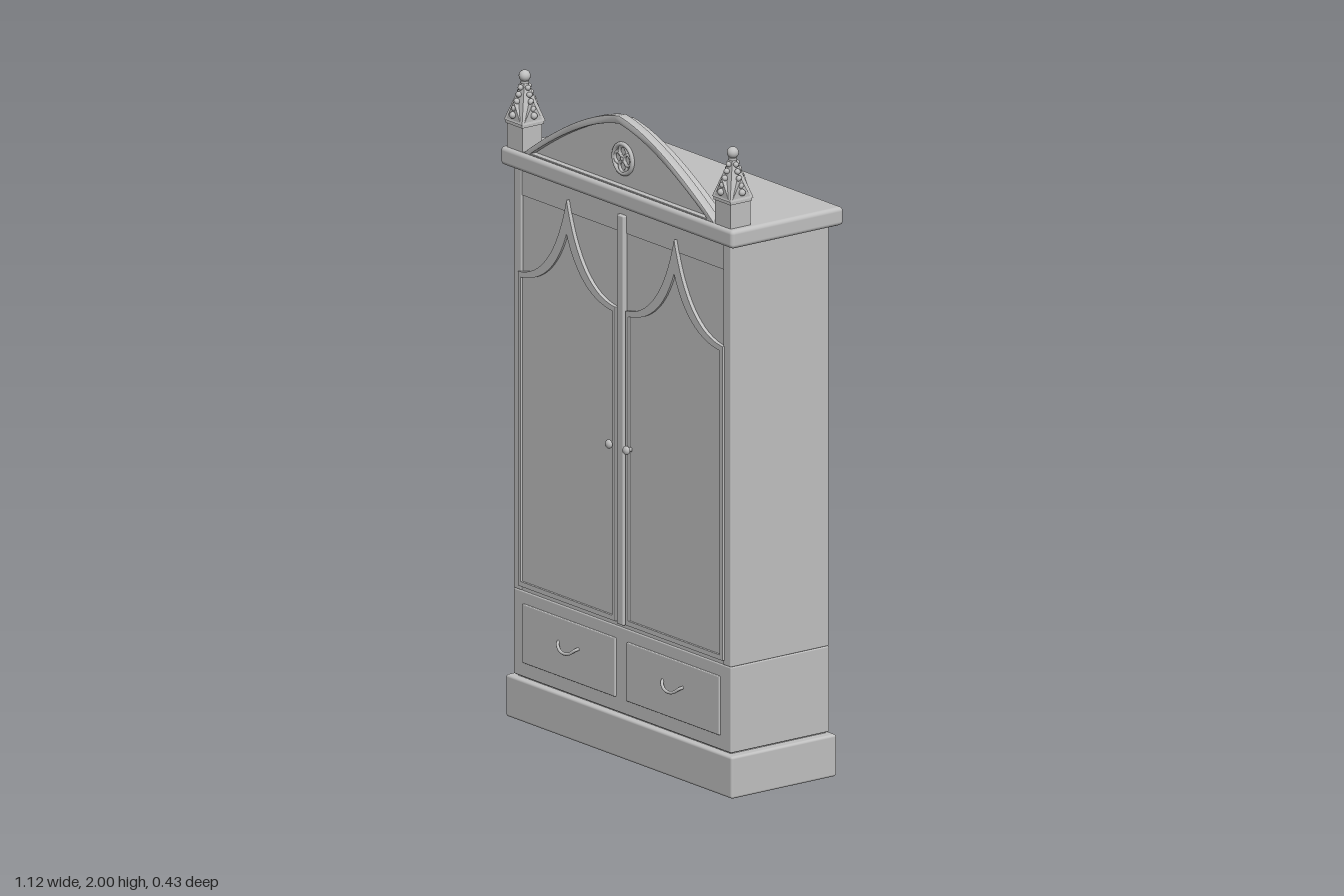
import * as THREE from 'three';
import { toCreasedNormals } from 'three/addons/utils/BufferGeometryUtils.js';
import { RoundedBoxGeometry } from 'three/addons/geometries/RoundedBoxGeometry.js';

const grey = new THREE.MeshStandardMaterial({ color: 0xc0c0c0 });
grey.name = 'grey';

function add(parent, name, geometry, x = 0, y = 0, z = 0) {
  const mesh = new THREE.Mesh(geometry, grey);
  mesh.name = name;
  mesh.position.set(x, y, z);
  parent.add(mesh);
  return mesh;
}

// Box given by its limits on each axis, with optional rounded edges
function block(parent, name, [x0, x1], [y0, y1], [z0, z1], radius = 0) {
  const size = [x1 - x0, y1 - y0, z1 - z0];
  const geometry = radius ? new RoundedBoxGeometry(...size, 3, radius) : new THREE.BoxGeometry(...size);
  return add(parent, name, geometry, (x0 + x1) / 2, (y0 + y1) / 2, (z0 + z1) / 2);
}

function extrude(shape, depth, bevel = 0) {
  const geometry = new THREE.ExtrudeGeometry(shape, {
    depth: depth - 2 * bevel, curveSegments: 16, bevelEnabled: bevel > 0,
    bevelSize: bevel, bevelThickness: bevel, bevelOffset: -bevel, bevelSegments: 2,
  });
  geometry.translate(0, 0, bevel);
  return toCreasedNormals(geometry, 0.6);
}

// Door outline: straight sides and two hollow curves that meet in a point
function doorOutline(path, half, bottom, shoulder, tip) {
  path.moveTo(-half, bottom);
  path.lineTo(half, bottom);
  path.lineTo(half, shoulder);
  path.quadraticCurveTo(0.065, shoulder + 0.015, 0, tip);
  path.quadraticCurveTo(-0.065, shoulder + 0.015, -half, shoulder);
  path.lineTo(-half, bottom);
  return path;
}

// Arched gable outline, half width and height above its base
function archOutline(path, half, base, top) {
  const rise = top - base;
  path.moveTo(-half, base);
  path.lineTo(half, base);
  path.quadraticCurveTo(half * 0.4, base + rise * 0.88, 0, top);
  path.quadraticCurveTo(-half * 0.4, base + rise * 0.88, -half, base);
  return path;
}

function buildDoor(side) {
  const door = new THREE.Group();
  door.name = side > 0 ? 'leftDoor' : 'rightDoor';
  const frame = doorOutline(new THREE.Shape(), 0.235, 0.415, 1.385, 1.66);
  frame.holes.push(doorOutline(new THREE.Path(), 0.221, 0.43, 1.37, 1.555));
  add(door, 'doorFrame', extrude(frame, 0.012), 0, 0, 0.179);
  const panel = doorOutline(new THREE.Shape(), 0.225, 0.425, 1.375, 1.6);
  add(door, 'doorPanel', extrude(panel, 0.006), 0, 0, 0.178);
  door.position.x = side * 0.26;
  return door;
}

function buildKnob(side) {
  const points = [[0, 0], [0.007, 0], [0.006, 0.008], [0.013, 0.013], [0.014, 0.019], [0.009, 0.025], [0, 0.026]];
  const geometry = new THREE.LatheGeometry(points.map((p) => new THREE.Vector2(...p)), 16);
  geometry.rotateX(Math.PI / 2);
  const knob = new THREE.Group();
  knob.name = 'doorKnob';
  add(knob, 'knob', geometry);
  knob.position.set(side * 0.042, 0.96, 0.184);
  return knob;
}

function buildDrawer(side) {
  const drawer = new THREE.Group();
  drawer.name = 'drawer';
  block(drawer, 'drawerFront', [-0.224, 0.224], [0.18, 0.362], [0.17, 0.19], 0.003);
  const path = new THREE.CatmullRomCurve3([
    [-0.05, 0.287, 0.188], [-0.042, 0.282, 0.198], [-0.022, 0.268, 0.205], [0, 0.264, 0.207],
    [0.022, 0.268, 0.205], [0.042, 0.282, 0.198], [0.05, 0.287, 0.188],
  ].map((p) => new THREE.Vector3(...p)));
  add(drawer, 'drawerHandle', new THREE.TubeGeometry(path, 24, 0.005, 8));
  drawer.position.x = side * 0.252;
  return drawer;
}

function buildPinnacle(side) {
  const pinnacle = new THREE.Group();
  pinnacle.name = 'pinnacle';
  block(pinnacle, 'pinnaclePost', [-0.037, 0.037], [0, 0.085], [-0.037, 0.037]);
  block(pinnacle, 'pinnacleCollar', [-0.041, 0.041], [0.075, 0.084], [-0.041, 0.041]);
  // Four-sided spire with its flat faces to the front and sides
  const spire = new THREE.CylinderGeometry(0.01, 0.062, 0.115, 4, 1).toNonIndexed();
  spire.rotateY(Math.PI / 4);
  spire.computeVertexNormals();
  add(pinnacle, 'spire', spire, 0, 0.1425, 0);

  const gable = new THREE.Shape([[-0.036, 0], [0.036, 0], [0, 0.065]].map((p) => new THREE.Vector2(...p)));
  for (let i = 0; i < 4; i++) {
    const face = new THREE.Group();
    face.name = 'spireFace';
    face.rotation.y = i * Math.PI / 2;
    add(face, 'gable', extrude(gable, 0.03), 0, 0.085, 0.012);
    // Row of round crockets climbing the face
    for (let k = 0; k < 5; k++) {
      const t = k / 4;
      add(face, 'crocket', new THREE.SphereGeometry(0.0105 - 0.002 * t, 10, 8),
        0, 0.108 + 0.08 * t, 0.045 - 0.029 * t);
    }
    pinnacle.add(face);
  }
  add(pinnacle, 'finialNeck', new THREE.CylinderGeometry(0.013, 0.013, 0.008, 12), 0, 0.203, 0);
  add(pinnacle, 'finialBall', new THREE.SphereGeometry(0.018, 16, 12), 0, 0.222, 0);
  pinnacle.position.set(side * 0.503, 1.76, 0.159);
  return pinnacle;
}

function buildPediment() {
  const pediment = new THREE.Group();
  pediment.name = 'pediment';
  add(pediment, 'pedimentPanel', extrude(archOutline(new THREE.Shape(), 0.45, 1.758, 1.968), 0.036), 0, 0, 0.141);
  const rim = archOutline(new THREE.Shape(), 0.462, 1.76, 1.983);
  rim.holes.push(archOutline(new THREE.Path(), 0.425, 1.766, 1.958));
  add(pediment, 'pedimentRim', extrude(rim, 0.03, 0.003), 0, 0, 0.167);

  // Pierced rosette: a ring around four small rings
  const rosette = new THREE.Group();
  rosette.name = 'rosette';
  add(rosette, 'outerRing', new THREE.TorusGeometry(0.045, 0.007, 10, 32));
  for (let i = 0; i < 4; i++) {
    const a = i * Math.PI / 2;
    add(rosette, 'lobeRing', new THREE.TorusGeometry(0.017, 0.005, 8, 20), 0.023 * Math.cos(a), 0.023 * Math.sin(a), 0);
  }
  add(rosette, 'rosetteCentre', new THREE.SphereGeometry(0.008, 12, 8));
  rosette.position.set(0, 1.847, 0.18);
  pediment.add(rosette);
  return pediment;
}

export function createModel() {
  const wardrobe = new THREE.Group();
  wardrobe.name = 'wardrobe';

  // Plinth, drawer case and cornice
  block(wardrobe, 'plinth', [-0.547, 0.547], [0, 0.13], [-0.197, 0.197], 0.008);
  block(wardrobe, 'plinthJoint', [-0.515, 0.515], [0.12, 0.145], [-0.178, 0.175]);
  block(wardrobe, 'drawerCase', [-0.526, 0.526], [0.135, 0.4], [-0.186, 0.184], 0.004);
  block(wardrobe, 'cornice', [-0.562, 0.562], [1.703, 1.76], [-0.213, 0.207], 0.013);

  // Upper cabinet: recessed core between two full-depth sides
  block(wardrobe, 'cabinetCore', [-0.5, 0.5], [0.395, 1.71], [-0.174, 0.177]);
  for (const side of [-1, 1]) {
    const [a, b] = [side * 0.488, side * 0.525];
    block(wardrobe, 'cabinetSide', [Math.min(a, b), Math.max(a, b)], [0.4, 1.706], [-0.185, 0.184], 0.004);
  }
  block(wardrobe, 'topRail', [-0.49, 0.49], [1.62, 1.706], [0.17, 0.18]);
  block(wardrobe, 'bottomRail', [-0.49, 0.49], [0.4, 0.455], [0.17, 0.18]);
  block(wardrobe, 'centreStile', [-0.016, 0.016], [0.41, 1.675], [0.17, 0.193], 0.004);

  for (const side of [-1, 1]) {
    wardrobe.add(buildDoor(side), buildKnob(side), buildDrawer(side), buildPinnacle(side));
  }
  wardrobe.add(buildPediment());
  return wardrobe;
}
